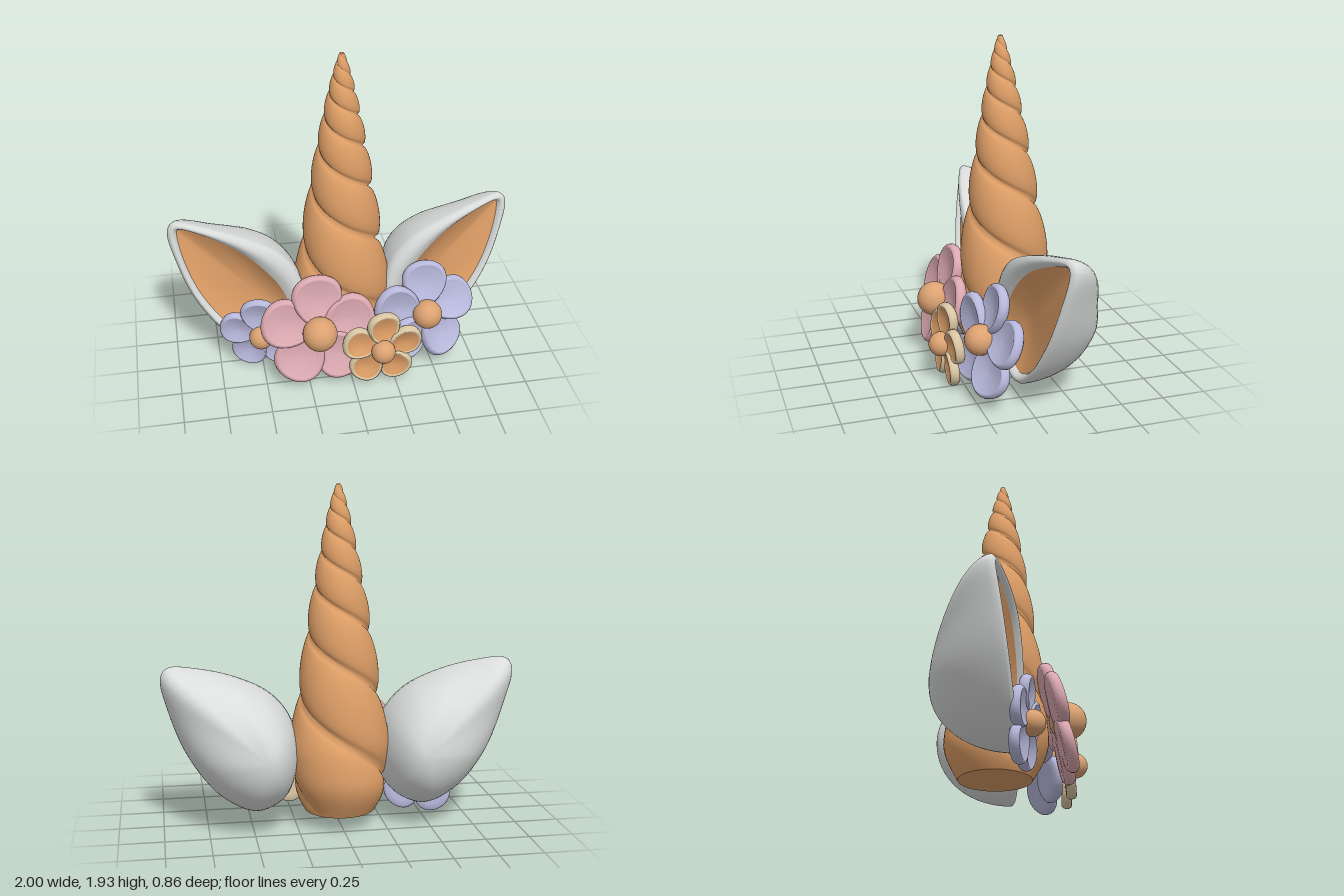
import * as THREE from 'three';
import { mergeVertices } from 'three/addons/utils/BufferGeometryUtils.js';

const mat = (name, color) => Object.assign(new THREE.MeshStandardMaterial({ color }), { name });
const V = (x, y, z = 0) => new THREE.Vector3(x, y, z);

// Smooth surface from a grid of points; fn(u, v) runs u around and v along
function surface(nu, nv, fn) {
  const pos = [], idx = [];
  for (let j = 0; j <= nv; j++)
    for (let i = 0; i <= nu; i++) pos.push(...fn(i / nu, j / nv));
  for (let j = 0; j < nv; j++)
    for (let i = 0; i < nu; i++) {
      const a = j * (nu + 1) + i, d = a + nu + 1;
      idx.push(a, a + 1, d, a + 1, d + 1, d);
    }
  let g = new THREE.BufferGeometry();
  g.setAttribute('position', new THREE.Float32BufferAttribute(pos, 3));
  g.setIndex(idx);
  g = mergeVertices(g, 1e-4);
  g.computeVertexNormals();
  return g;
}

// Horn: two thick strands twisted together, the pitch shrinking toward the tip.
// Rows follow the strands and flatten out softly at the base.
function hornGeometry() {
  const y0 = 0.1, y1 = 1.94, s0 = -2.25, turns = 11.25, rows = turns * 16;
  const n0 = Math.log(1.35 / (2.1 - y0)) / 0.31, soft = 0.12;
  return surface(64, rows, (u, v) => {
    const t = s0 + turns * v - 2 * u;
    const n = n0 + soft * Math.log(1 + Math.exp((t - n0) / soft));
    const y = Math.min(y1, 2.1 - 1.35 * Math.exp(-0.31 * n));
    const turn = Math.log(1.35 / (2.1 - y)) / 0.31 + 2 * u;
    const k = turn - Math.floor(turn + 1e-6);
    const rise = Math.sin(Math.min(1, (y - y0) / 0.22) * Math.PI / 2);
    const bulge = 1 - 0.21 * rise * (1 - Math.sqrt(Math.max(0, 1 - (2 * k - 1) ** 2)));
    let r = Math.min(0.288, 0.216 * Math.pow(1.96 - y, 0.73)) * bulge * (0.7 + 0.3 * rise);
    if (v === 0 || v === 1) r = 0;
    const a = u * Math.PI * 2 - Math.PI / 2;
    return [r * Math.sin(a), y, r * Math.cos(a) - 0.085 + 0.02 * y];
  });
}

// Ear outlines, counterclockwise from the tip
const closed = (pts) => new THREE.CatmullRomCurve3(pts.map((p) => V(...p)), true);
const earOuter = closed([[0.96, 0.953], [0.8, 0.935], [0.57, 0.865], [0.385, 0.765], [0.265, 0.61], [0.235, 0.38],
  [0.31, 0.18], [0.48, 0.1], [0.68, 0.2], [0.86, 0.44], [0.96, 0.7], [0.998, 0.9]]);
const earInner = closed([[0.935, 0.905], [0.79, 0.875], [0.6, 0.78], [0.46, 0.65], [0.37, 0.52], [0.33, 0.38],
  [0.37, 0.23], [0.49, 0.16], [0.65, 0.24], [0.82, 0.46], [0.915, 0.7], [0.945, 0.88]]);
const backMid = V(0.43, 0.47), liningMid = V(0.52, 0.47);
const rimZ = (p) => 0.05 - 0.14 * Math.pow(Math.max(0, p.x - 0.3) / 0.7, 2) - 0.16 * (p.y - 0.5) ** 2;

function ear(side, shellMat, liningMat) {
  const group = new THREE.Group();
  group.name = side > 0 ? 'leftEar' : 'rightEar';
  const at = (curve, u) => curve.getPoint((side > 0 ? u : 1 - u) % 1);
  const out = (p, z) => [side * p.x, p.y, rimZ(p) + z];
  // rounded back running up to the rim, then rolling over to the lining
  const shell = surface(72, 24, (u, v) => {
    const o = at(earOuter, u), j = Math.round(v * 24);
    if (j <= 18) {
      const s = Math.sin(j / 18 * Math.PI / 2), reach = o.distanceTo(backMid);
      const w = THREE.MathUtils.smoothstep(reach, 0.3, 0.7);
      const d = 0.47 * Math.pow(Math.max(0, 1 - s * s), 0.48 + 0.17 * w);
      const round = THREE.MathUtils.lerp(Math.min(1, 0.42 / reach), 1, s);
      return out(backMid.clone().lerp(o, s * round), -d);
    }
    const t = (j - 18) / 6;
    return out(o.lerp(at(earInner, u), t), 0.025 * Math.sin(t * Math.PI) - 0.02 * t);
  });
  const lining = surface(72, 10, (u, v) => {
    const p = at(earInner, u).lerp(liningMid, v);
    return out(p, -0.02 - 0.08 * (1 - (1 - v) ** 2));
  });
  const a = new THREE.Mesh(shell, shellMat), b = new THREE.Mesh(lining, liningMat);
  a.name = 'earShell';
  b.name = 'earLining';
  group.add(a, b);
  return group;
}

// Petal pieces: a puffy rim and a shallow dished middle, narrower toward the flower's heart
function petalPart(profile) {
  const g = new THREE.LatheGeometry(profile.map((p) => new THREE.Vector2(...p)), 36);
  g.rotateX(Math.PI / 2);
  const p = g.attributes.position;
  for (let i = 0; i < p.count; i++) p.setY(i, p.getY(i) * (1 + 0.2 * p.getX(i)));
  g.computeVertexNormals();
  return g;
}
const petalRim = petalPart([[0, -0.8], [0.6, -0.95], [0.88, -0.9], [0.97, -0.5], [1, 0], [0.97, 0.55], [0.9, 0.9],
  [0.84, 0.95], [0.77, 0.8]]);
const petalDish = petalPart([[0.77, 0.8], [0.5, 0.5], [0.25, 0.32], [0, 0.25]]);

function flower({ name, at, normal, ball, dist, size, thick, start, twist, rim, dish, heart }) {
  const group = new THREE.Group();
  group.name = name;
  group.position.set(...at);
  group.quaternion.setFromUnitVectors(V(0, 0, 1), V(...normal).normalize());
  const center = new THREE.Mesh(new THREE.SphereGeometry(ball, 32, 24), heart);
  center.name = 'flowerCenter';
  group.add(center);
  for (let i = 0; i < 5; i++) {
    const petal = new THREE.Group();
    petal.name = 'petal';
    petal.rotation.z = start + i * Math.PI * 2 / 5;
    for (const [geo, m, part] of [[petalRim, rim, 'petalRim'], [petalDish, dish, 'petalDish']]) {
      const mesh = new THREE.Mesh(geo, m);
      mesh.name = part;
      mesh.position.set(dist, 0, -ball * 0.55);
      mesh.rotation.x = twist;
      mesh.scale.set(size * 1.08, size, thick);
      petal.add(mesh);
    }
    group.add(petal);
  }
  return group;
}

export function createModel() {
  const orange = mat('warm orange', 0xdf9f67);
  const bead = mat('pale orange', 0xdca272);
  const white = mat('soft white', 0xdadddb);
  const pink = mat('dusty pink', 0xdca9b1);
  const lilac = mat('lilac', 0xb8b8dc);
  const cream = mat('cream', 0xd9c6a3);

  const model = new THREE.Group();
  model.name = 'hornAndFlowerTopper';
  const horn = new THREE.Mesh(hornGeometry(), orange);
  horn.name = 'spiralHorn';
  model.add(horn, ear(1, white, orange), ear(-1, white, orange));

  // Flower row along the front
  const top = Math.PI / 2;
  model.add(
    flower({ name: 'pinkFlower', at: [-0.19, 0.37, 0.3], normal: [0, 0.24, 1], ball: 0.1, dist: 0.185,
      size: 0.145, thick: 0.034, start: top, twist: 0.04, rim: pink, dish: pink, heart: bead }),
    flower({ name: 'lilacFlower', at: [0.46, 0.37, 0.22], normal: [0.22, 0.24, 1], ball: 0.086, dist: 0.178,
      size: 0.132, thick: 0.034, start: top - 0.06, twist: -0.2, rim: lilac, dish: lilac, heart: bead }),
    flower({ name: 'smallLilacFlower', at: [-0.51, 0.24, 0.1], normal: [-0.25, -0.1, 1], ball: 0.07, dist: 0.14,
      size: 0.104, thick: 0.03, start: top + 0.1, twist: 0.05, rim: lilac, dish: lilac, heart: bead }),
    flower({ name: 'creamFlower', at: [0.17, 0.24, 0.36], normal: [0.03, 0, 1], ball: 0.07, dist: 0.138,
      size: 0.097, thick: 0.03, start: top - 0.05, twist: 0.12, rim: cream, dish: orange, heart: bead }),
  );
  return model;
}
